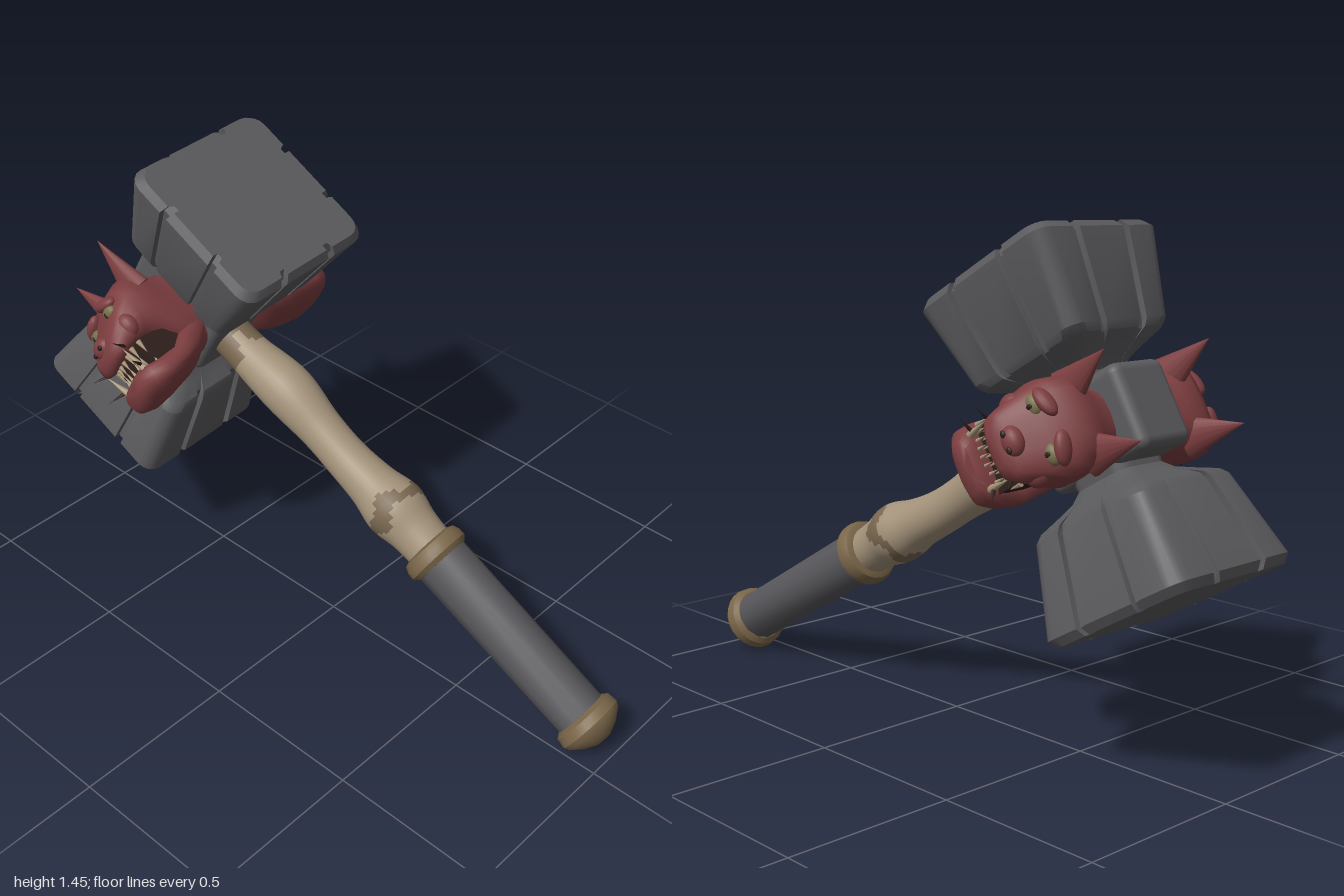
import * as THREE from 'three';
import { toCreasedNormals } from 'three/addons/utils/BufferGeometryUtils.js';
import { RoundedBoxGeometry } from 'three/addons/geometries/RoundedBoxGeometry.js';

const V = (x, y, z) => new THREE.Vector3(x, y, z);
const paint = (name, color) => new THREE.MeshStandardMaterial({ name, color });

// Skin joining closed rings (counter-clockwise, advancing along +z), capped at both ends.
// pick(centre) may return 1 to send a face to the second material.
function loft(rings, crease = 0.6, pick = () => 0) {
  const n = rings[0].length, pts = rings.flat(), lists = [[], []];
  const face = (a, b, c, k) => lists[k].push(a, b, c);
  for (let i = 0; i < rings.length - 1; i++) {
    for (let j = 0; j < n; j++) {
      const a = i * n + j, b = i * n + (j + 1) % n, c = b + n, d = a + n;
      const k = pick(pts[a].clone().add(pts[c]).multiplyScalar(0.5));
      face(a, b, c, k);
      face(a, c, d, k);
    }
  }
  const mean = (ring) => ring.reduce((s, p) => s.add(p), V(0, 0, 0)).divideScalar(n);
  const first = pts.push(mean(rings[0])) - 1;
  const last = pts.push(mean(rings[rings.length - 1])) - 1;
  const o = (rings.length - 1) * n;
  for (let j = 0; j < n; j++) {
    face(first, (j + 1) % n, j, 0);
    face(last, o + j, o + (j + 1) % n, 0);
  }
  const g = new THREE.BufferGeometry().setFromPoints(pts);
  g.setIndex([...lists[0], ...lists[1]]);
  if (lists[1].length) {
    g.addGroup(0, lists[0].length, 0);
    g.addGroup(lists[0].length, lists[1].length, 1);
  }
  return toCreasedNormals(g, crease);
}

// Rounded cross-section; power below 1 makes it squarer
function oval(cx, cy, rx, ry, z, n, power = 1) {
  const bend = (v) => Math.sign(v) * Math.abs(v) ** power;
  return Array.from({ length: n }, (_, j) => {
    const t = (j / n) * Math.PI * 2;
    return V(cx + rx * bend(Math.cos(t)), cy + ry * bend(Math.sin(t)), z);
  });
}

// Rounded square with two notches in each side
function notchedSquare([z, half, depth, round]) {
  const ring = [], r = half * round, a = half * 0.4, w = 0.013;
  for (let k = 0; k < 4; k++) {
    const side = [[half, r - half]];
    for (const s of [-a, a]) {
      side.push([half, s - w], [half - depth, s - w], [half - depth, s + w], [half, s + w]);
    }
    for (let q = 0; q < 4; q++) {
      const t = (q * Math.PI) / 8;
      side.push([half - r + r * Math.cos(t), half - r + r * Math.sin(t)]);
    }
    for (const [x, y] of side) ring.push(V(x, y, z).applyAxisAngle(V(0, 0, 1), (k * Math.PI) / 2));
  }
  return ring;
}

export function createModel() {
  const model = new THREE.Group();
  model.name = 'warHammer';
  const stone = paint('stone', 0x5b5b5e), leather = paint('gripLeather', 0x57575b);
  const bone = paint('bone', 0xa3927a), wornBone = paint('wornBone', 0x78664f);
  const bronze = paint('bronze', 0x7a6649), hide = paint('redHide', 0x7d3e40);
  const ivory = paint('ivory', 0xa8977a), eyeColor = paint('eyeOlive', 0x76704a);
  const dark = paint('mouthDark', 0x2e1f1b);

  const hammer = new THREE.Group();
  hammer.name = 'hammer';
  hammer.rotation.set(Math.PI / 6, 0.053, 0.02, 'YXZ');
  hammer.position.set(-0.005, 0.907, -0.555);
  model.add(hammer);

  const add = (parent, name, geometry, material) => {
    const mesh = new THREE.Mesh(geometry, material);
    mesh.name = name;
    parent.add(mesh);
    return mesh;
  };
  const spike = (parent, name, from, to, r, material, flat = 1, sides = 8) => {
    const dir = to.clone().sub(from);
    const m = add(parent, name, new THREE.ConeGeometry(r, dir.length(), sides), material);
    m.position.copy(from).addScaledVector(dir, 0.5);
    m.quaternion.setFromUnitVectors(V(0, 1, 0), dir.normalize());
    m.scale.z = flat;
    return m;
  };
  const blob = (parent, name, p, s, material) => {
    const m = add(parent, name, new THREE.SphereGeometry(1, 16, 12), material);
    m.position.copy(p);
    m.scale.copy(s);
    return m;
  };

  // Two striking blocks flaring out of narrow necks
  const blockRings = [
    [0.08, 0.1, 0.001, 0.45], [0.135, 0.095, 0.001, 0.45], [0.16, 0.115, 0.001, 0.4],
    [0.185, 0.155, 0.001, 0.3], [0.205, 0.19, 0.012, 0.25], [0.225, 0.203, 0.018, 0.22],
    [0.47, 0.248, 0.018, 0.2], [0.494, 0.232, 0.018, 0.2],
  ];
  for (const s of [1, -1]) {
    const block = add(hammer, s > 0 ? 'upperBlock' : 'lowerBlock',
      loft(blockRings.map(notchedSquare), 0.45), stone);
    block.rotation.x = (-s * Math.PI) / 2;
  }
  const core = add(hammer, 'core', new RoundedBoxGeometry(0.205, 0.24, 0.35, 3, 0.03), stone);
  core.position.z = -0.02;

  // Knobbly bone shaft with worn patches
  const shaftCurve = new THREE.CatmullRomCurve3([
    [0.064, 0.01, 0.1], [0.066, 0.015, 0.22], [0.08, 0.036, 0.39], [0.066, 0.03, 0.55],
    [0.066, 0.026, 0.66], [0.075, 0.032, 0.77], [0.093, 0.037, 0.865], [0.078, 0.036, 0.95],
    [0.072, 0.034, 1.05],
  ].map((p) => V(...p)));
  const worn = (p) => {
    const t = Math.atan2(p.y - 0.03, p.x), wave = Math.sin(2 * t + 0.6) + 0.5 * Math.sin(5 * t);
    return p.z < 0.22 + 0.04 * wave || Math.abs(p.z - 0.865 - 0.018 * wave) < 0.024 + 0.012 * Math.sin(3 * t) ? 1 : 0;
  };
  add(hammer, 'shaft', loft(shaftCurve.getPoints(70).map((p) => oval(0, p.y, p.x, p.x, p.z, 28)), 0.8, worn), [bone, wornBone]);

  // Grip, collar and pommel
  const turned = (name, profile, n, material) => add(hammer, name,
    loft(profile.map(([z, r]) => oval(0, 0.036, r, r, z, n))), material);
  turned('grip', [[1.04, 0.084], [1.69, 0.08]], 12, leather);
  turned('collar', [[1.008, 0.076], [1.015, 0.092], [1.035, 0.1], [1.055, 0.1], [1.07, 0.086]], 24, bronze);
  turned('pommel', [[1.65, 0.082], [1.662, 0.098], [1.69, 0.102], [1.705, 0.094], [1.73, 0.062], [1.746, 0.028]], 24, bronze);

  // Beast heads: x is up, y is sideways, z is the way the beast faces
  const section = ([z, top, bottom, wide]) =>
    oval((top + bottom) / 2, 0, (top - bottom) / 2, wide, z, 24, 0.72);
  const skull = [
    [0.06, 0.13, -0.13, 0.1], [0.12, 0.13, -0.14, 0.105], [0.18, 0.155, -0.13, 0.125],
    [0.23, 0.162, -0.06, 0.135], [0.28, 0.14, -0.045, 0.135], [0.315, 0.095, -0.045, 0.116],
    [0.35, 0.055, -0.05, 0.1], [0.375, 0.025, -0.052, 0.085], [0.39, 0, -0.04, 0.05],
  ];
  const jaw = [
    [0.1, -0.02, -0.12, 0.09], [0.17, -0.05, -0.17, 0.11], [0.24, -0.105, -0.185, 0.122],
    [0.31, -0.108, -0.197, 0.116], [0.36, -0.102, -0.192, 0.102], [0.385, -0.115, -0.172, 0.07],
  ];
  for (const s of [1, -1]) {
    const mount = new THREE.Group();
    mount.name = s > 0 ? 'leftBeast' : 'rightBeast';
    mount.rotation.z = s > 0 ? 0 : Math.PI;
    hammer.add(mount);
    const beast = new THREE.Group();
    beast.name = 'beastHead';
    beast.rotation.y = Math.PI / 2;
    mount.add(beast);
    add(beast, 'skull', loft(skull.map(section), 1), hide);
    add(beast, 'jaw', loft(jaw.map(section), 1), hide);
    const mouth = add(beast, 'mouth', new THREE.BoxGeometry(0.09, 0.18, 0.14), dark);
    mouth.position.set(-0.08, 0, 0.26);
    blob(beast, 'nose', V(0.022, 0, 0.365), V(0.032, 0.042, 0.028), hide);
    for (const e of [1, -1]) {
      blob(beast, 'eye', V(0.082, e * 0.066, 0.312), V(0.022, 0.03, 0.018), eyeColor);
      blob(beast, 'pupil', V(0.08, e * 0.064, 0.326), V(0.012, 0.008, 0.006), dark);
      const brow = blob(beast, 'brow', V(0.112, e * 0.062, 0.302), V(0.02, 0.046, 0.026), hide);
      brow.rotation.z = e * 0.35;
      blob(beast, 'cheek', V(0.015, e * 0.09, 0.312), V(0.04, 0.036, 0.03), hide);
      blob(beast, 'nostril', V(0.022, e * 0.022, 0.39), V(0.008, 0.01, 0.005), dark);
      spike(beast, 'ear', V(0.1, e * 0.085, 0.2), V(0.275, e * 0.122, 0.215), 0.06, hide, 0.5, 14);
      spike(beast, 'whiskerSpike', V(-0.03, e * 0.08, 0.36), V(-0.015, e * 0.11, 0.405), 0.006, dark);
      spike(beast, 'whiskerSpike', V(-0.1, e * 0.08, 0.36), V(-0.09, e * 0.12, 0.4), 0.006, dark);
      spike(beast, 'tusk', V(-0.115, e * 0.074, 0.355), V(-0.03, e * 0.08, 0.372), 0.012, ivory);
    }
    for (let i = -4; i <= 4; i++) {
      const y = i * 0.023, z = 0.365 - 5 * y * y;
      spike(beast, 'upperTooth', V(-0.042, y, z), V(-0.085, y, z), 0.009, ivory);
      spike(beast, 'lowerTooth', V(-0.118, y + 0.008, z - 0.008), V(-0.07, y + 0.008, z - 0.006), 0.008, ivory);
    }
  }
  return model;
}
